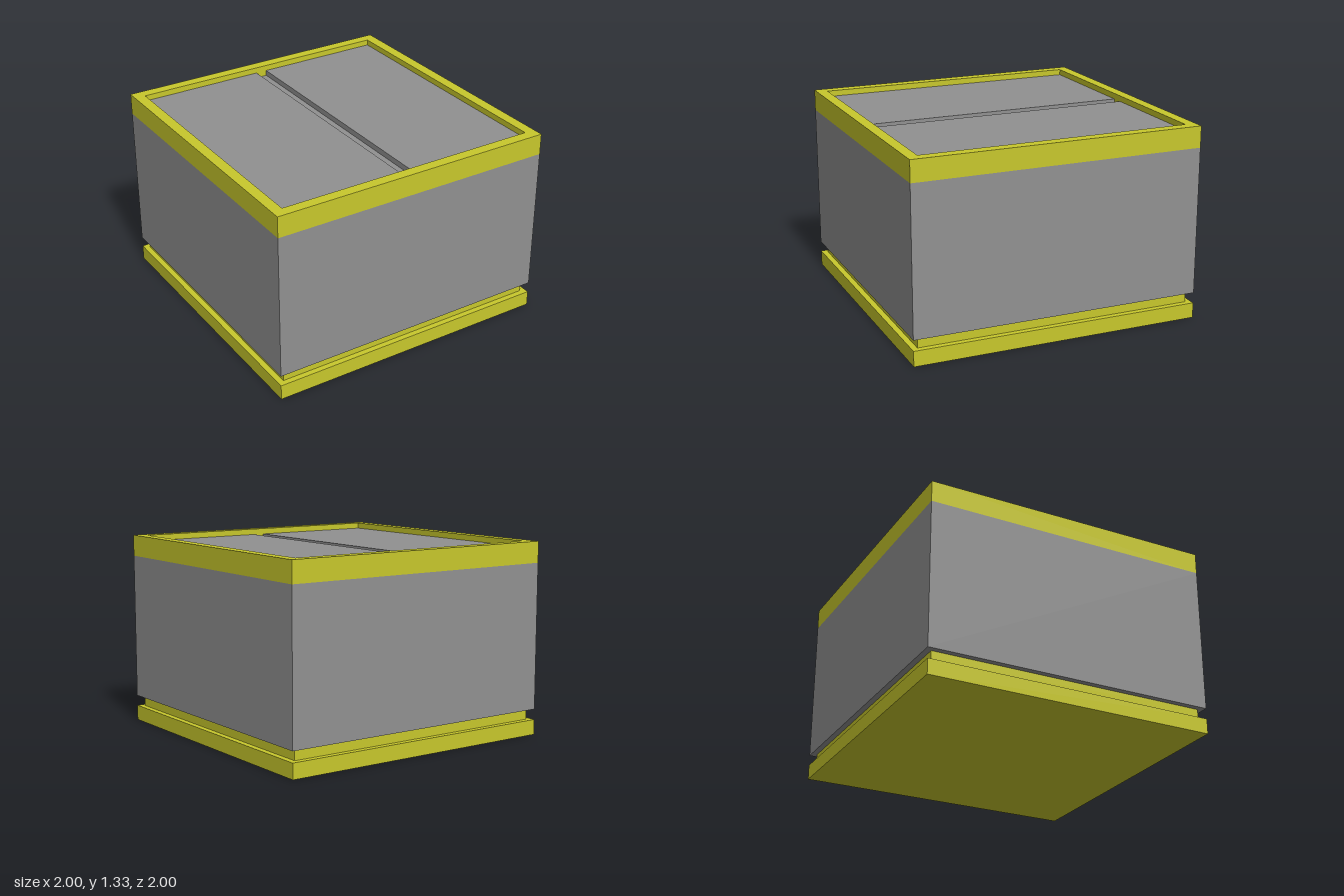
import * as THREE from 'three';

export function createModel() {
  const group = new THREE.Group();
  const yellow = new THREE.MeshStandardMaterial({ color: 0xc8c82c });
  yellow.name = 'yellow trim';
  const grey = new THREE.MeshStandardMaterial({ color: 0x919191 });
  grey.name = 'grey panel';

  // Box from x0 to x1, y0 to y1 and -d to d in z
  const block = (name, material, x0, x1, y0, y1, d) => {
    const mesh = new THREE.Mesh(new THREE.BoxGeometry(x1 - x0, y1 - y0, 2 * d), material);
    mesh.position.set((x0 + x1) / 2, (y0 + y1) / 2, 0);
    mesh.name = name;
    group.add(mesh);
  };

  const rimBottom = 1.187, rimTop = 1.333, inner = 0.925, slot = 0.04;

  // Base slab, recessed neck and main body
  block('base', yellow, -1, 1, 0, 0.105, 1);
  block('neck', yellow, -0.96, 0.96, 0.105, 0.178, 0.96);
  block('body', grey, -1, 1, 0.178, rimBottom, 1);

  // Square rim with an open centre
  const square = (h) => [[-h, -h], [h, -h], [h, h], [-h, h]].map(([x, y]) => new THREE.Vector2(x, y));
  const frame = new THREE.Shape(square(1));
  frame.holes.push(new THREE.Path(square(inner)));
  const rimGeometry = new THREE.ExtrudeGeometry(frame, { depth: rimTop - rimBottom, bevelEnabled: false });
  rimGeometry.rotateX(-Math.PI / 2);
  const rim = new THREE.Mesh(rimGeometry, yellow);
  rim.position.y = rimBottom;
  rim.name = 'rim';
  group.add(rim);

  // Two sunken lid panels with a groove between them
  block('leftLid', grey, slot, inner, rimBottom, 1.293, inner);
  block('rightLid', grey, -inner, -slot, rimBottom, 1.293, inner);
  block('grooveFloor', grey, -slot, slot, rimBottom, 1.255, inner);

  return group;
}
